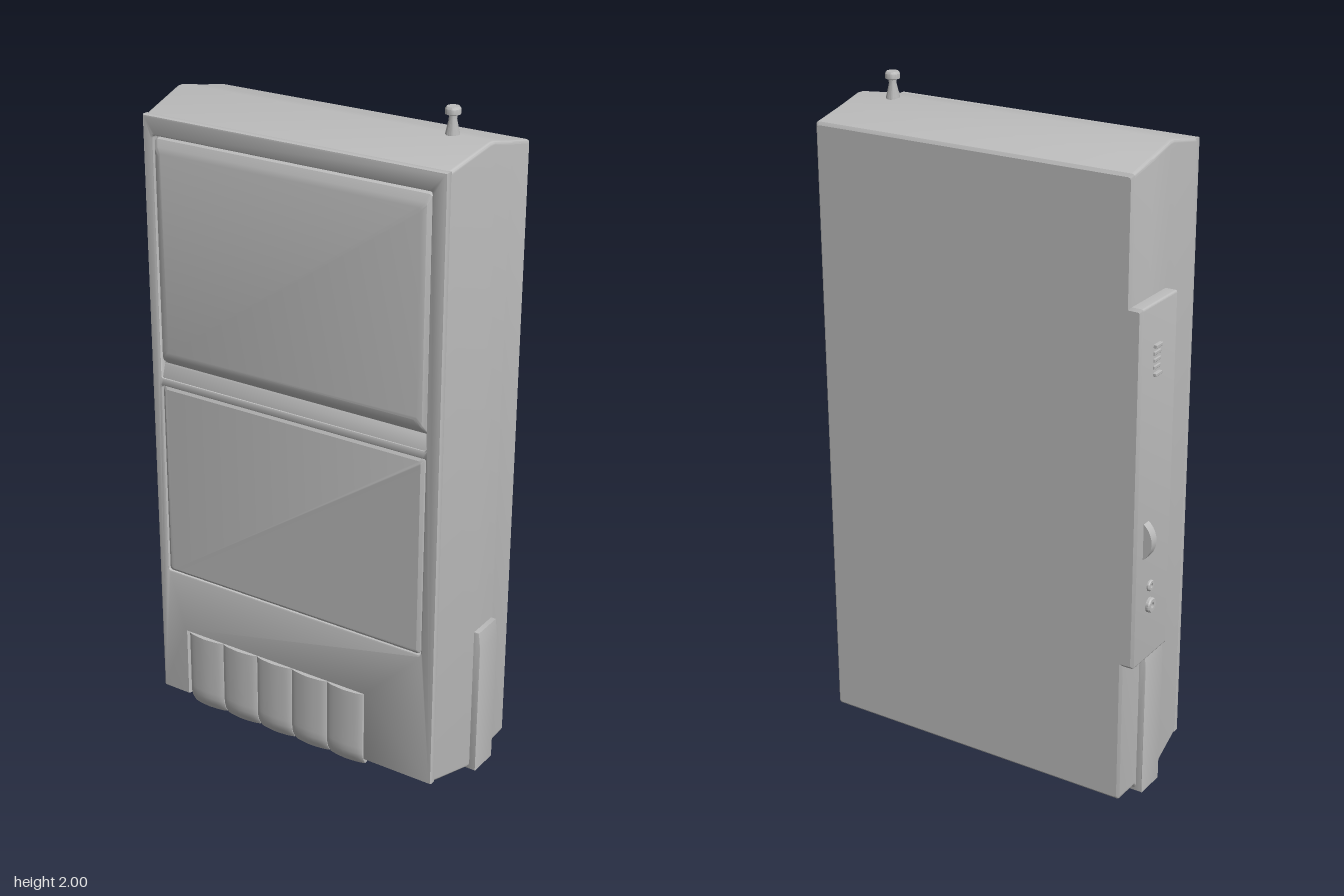
import * as THREE from 'three';
import { toCreasedNormals } from 'three/addons/utils/BufferGeometryUtils.js';
import { RoundedBoxGeometry } from 'three/addons/geometries/RoundedBoxGeometry.js';

const CX = 0.0175; // middle of the case, without the side controls

// Rectangle outline with rounded corners, counter-clockwise
function roundRect(x0, y0, x1, y1, r, Type = THREE.Shape) {
  const s = new Type();
  s.moveTo(x0 + r, y0);
  s.lineTo(x1 - r, y0);
  s.quadraticCurveTo(x1, y0, x1, y0 + r);
  s.lineTo(x1, y1 - r);
  s.quadraticCurveTo(x1, y1, x1 - r, y1);
  s.lineTo(x0 + r, y1);
  s.quadraticCurveTo(x0, y1, x0, y1 - r);
  s.lineTo(x0, y0 + r);
  s.quadraticCurveTo(x0, y0, x0 + r, y0);
  return s;
}

// Closed solid through rounded rectangles [z, x0, y0, x1, y1], back to front
function loft(sections, r = 0.01) {
  const rings = sections.map(([z, x0, y0, x1, y1]) => {
    const pts = roundRect(x0, y0, x1, y1, r).getPoints(4).slice(0, -1);
    return pts.map((p) => [p.x, p.y, z]);
  });
  const n = rings[0].length;
  const pos = [];
  for (let k = 0; k < rings.length - 1; k++) {
    for (let i = 0; i < n; i++) {
      const j = (i + 1) % n;
      const a = rings[k][i], b = rings[k][j], c = rings[k + 1][j], d = rings[k + 1][i];
      pos.push(...a, ...b, ...c, ...a, ...c, ...d);
    }
  }
  const back = rings[0], front = rings[rings.length - 1];
  for (let i = 1; i < n - 1; i++) {
    pos.push(...back[0], ...back[i + 1], ...back[i]);
    pos.push(...front[0], ...front[i], ...front[i + 1]);
  }
  const g = new THREE.BufferGeometry();
  g.setAttribute('position', new THREE.Float32BufferAttribute(pos, 3));
  return toCreasedNormals(g, 0.5);
}

export function createModel() {
  const model = new THREE.Group();
  const grey = new THREE.MeshStandardMaterial({ color: 0xbcbcbc });
  grey.name = 'casing grey';
  const add = (name, geometry, x = 0, y = 0, z = 0) => {
    const m = new THREE.Mesh(geometry, grey);
    m.name = name;
    m.position.set(x, y, z);
    model.add(m);
    return m;
  };

  // Case: straight back half, tapered front half, ridged top and bottom
  const section = (z, hw, y0, y1) => [z, CX - hw, y0, CX + hw, y1];
  add('case', loft([
    section(-0.205, 0.495, 0.038, 1.874),
    section(-0.198, 0.5025, 0.03, 1.883),
    section(-0.11, 0.5025, 0.028, 1.902),
    section(-0.1, 0.5025, 0.014, 1.904),
    section(-0.01, 0.5025, 0.014, 1.926),
    section(0.01, 0.5015, 0.016, 1.926),
    section(0.175, 0.482, 0.054, 1.89),
  ]));

  // Front face with openings for the two windows and a notch for the keys
  const B = 0.006;
  const face = new THREE.Shape();
  const fx0 = CX - 0.482 + B, fx1 = CX + 0.482 - B;
  [[fx0, 0.06], [-0.375, 0.06], [-0.375, 0.285], [0.275, 0.285], [0.275, 0.06],
    [fx1, 0.06], [fx1, 1.884], [fx0, 1.884]]
    .forEach(([x, y], i) => (i ? face.lineTo(x, y) : face.moveTo(x, y)));
  face.closePath();
  face.holes.push(roundRect(-0.437, 1.106, 0.462, 1.84, 0.012, THREE.Path));
  face.holes.push(roundRect(-0.437, 0.47, 0.462, 1.092, 0.012, THREE.Path));
  const faceGeo = new THREE.ExtrudeGeometry(face, {
    depth: 0.016, bevelThickness: B, bevelSize: B, bevelSegments: 2, curveSegments: 4,
  });
  add('frontFace', toCreasedNormals(faceGeo, 0.6), 0, 0, 0.173);

  // Upper window with wide sloping rims
  add('upperWindow', loft([
    [0.17, -0.43, 1.15, 0.455, 1.83],
    [0.188, -0.428, 1.165, 0.453, 1.826],
    [0.199, -0.42, 1.18, 0.445, 1.806],
    [0.204, -0.405, 1.2, 0.43, 1.79],
  ]));

  // Sloping channel under the upper window
  add('windowChannel', loft([
    [0.17, -0.43, 1.09, 0.455, 1.16],
    [0.178, -0.43, 1.09, 0.455, 1.15],
    [0.192, -0.43, 1.09, 0.455, 1.108],
  ], 0.004));

  // Lower door
  add('lowerDoor', loft([
    [0.17, -0.427, 0.478, 0.452, 1.088],
    [0.191, -0.427, 0.478, 0.452, 1.088],
    [0.197, -0.418, 0.487, 0.443, 1.079],
  ]));

  // Five rounded keys whose lower ends curl back under the front edge
  for (let i = 0; i < 5; i++) {
    const w = 0.0615;
    const s = new THREE.Shape();
    s.moveTo(-w, 0);
    s.lineTo(w, 0);
    s.lineTo(w, -0.012);
    s.quadraticCurveTo(w * 0.85, -0.02, 0, -0.023);
    s.quadraticCurveTo(-w * 0.85, -0.02, -w, -0.012);
    s.closePath();
    const g = new THREE.ExtrudeGeometry(s, { depth: 0.25, steps: 12, bevelEnabled: false, curveSegments: 5 });
    g.rotateX(-Math.PI / 2);
    const p = g.attributes.position;
    for (let v = 0; v < p.count; v++) {
      const t = Math.max(0, 1 - p.getY(v) / 0.05);
      p.setZ(v, p.getZ(v) - 0.018 * t * t);
    }
    add('key' + (i + 1), toCreasedNormals(g, 0.6), -0.301 + i * 0.1255, 0.025, 0.177);
  }

  // Mirrored lower side guides
  for (const side of [-1, 1]) {
    const s = new THREE.Shape();
    s.moveTo(0, 0);
    s.lineTo(0.04, 0);
    s.lineTo(0.042, 0.42);
    s.lineTo(0.036, 0.472);
    s.lineTo(0, 0.472);
    s.closePath();
    const g = new THREE.ExtrudeGeometry(s, { depth: 0.094, bevelThickness: 0.004, bevelSize: 0.004, bevelOffset: -0.004, bevelSegments: 2 });
    g.translate(0, 0, -0.097);
    if (side < 0) g.rotateY(Math.PI).translate(0, 0, -0.1);
    add(side < 0 ? 'rightGuide' : 'leftGuide', toCreasedNormals(g, 0.6), CX + side * 0.482, 0.004, 0);
  }

  // Raised control strip on the right side
  add('controlStrip', loft([
    [-0.205, -0.512, 0.478, -0.46, 1.522],
    [-0.198, -0.52, 0.47, -0.46, 1.53],
    [-0.015, -0.52, 0.47, -0.46, 1.53],
    [-0.008, -0.512, 0.478, -0.46, 1.522],
  ], 0.006));

  // Volume wheel
  add('volumeWheel', toCreasedNormals(new THREE.CylinderGeometry(0.07, 0.07, 0.028, 32).rotateX(Math.PI / 2), 0.6),
    -0.476, 0.85, -0.15);

  // Sockets: short open collars
  const collar = new THREE.LatheGeometry([[0.009, 0], [0.009, 0.018], [0.019, 0.018], [0.022, 0.014], [0.022, 0]]
    .map(([x, y]) => new THREE.Vector2(x, y)).reverse(), 20);
  collar.rotateZ(Math.PI / 2);
  const collarGeo = toCreasedNormals(collar, 0.5);
  [0.64, 0.7].forEach((y, i) => {
    const m = add('socket' + (i + 1), collarGeo, -0.514, y, -0.12);
    m.scale.setScalar(i ? 0.75 : 1);
  });

  // Slide switch: low ribs between two end buttons
  for (let i = 0; i < 5; i++) {
    const end = i === 0 || i === 4;
    add('switchRib' + (i + 1), new RoundedBoxGeometry(end ? 0.022 : 0.012, 0.01, 0.035, 1, 0.002),
      -0.519, 1.33 + i * 0.02, -0.12);
  }

  // Aerial stub on the top ridge
  const stub = [[0, 0], [0.02, 0], [0.019, 0.02], [0.011, 0.055], [0.011, 0.066], [0.021, 0.07], [0.021, 0.084], [0.017, 0.09], [0, 0.09]]
    .map(([x, y]) => new THREE.Vector2(x, y));
  add('aerial', toCreasedNormals(new THREE.LatheGeometry(stub, 20), 0.6), 0.397, 1.91, -0.005);

  return model;
}
